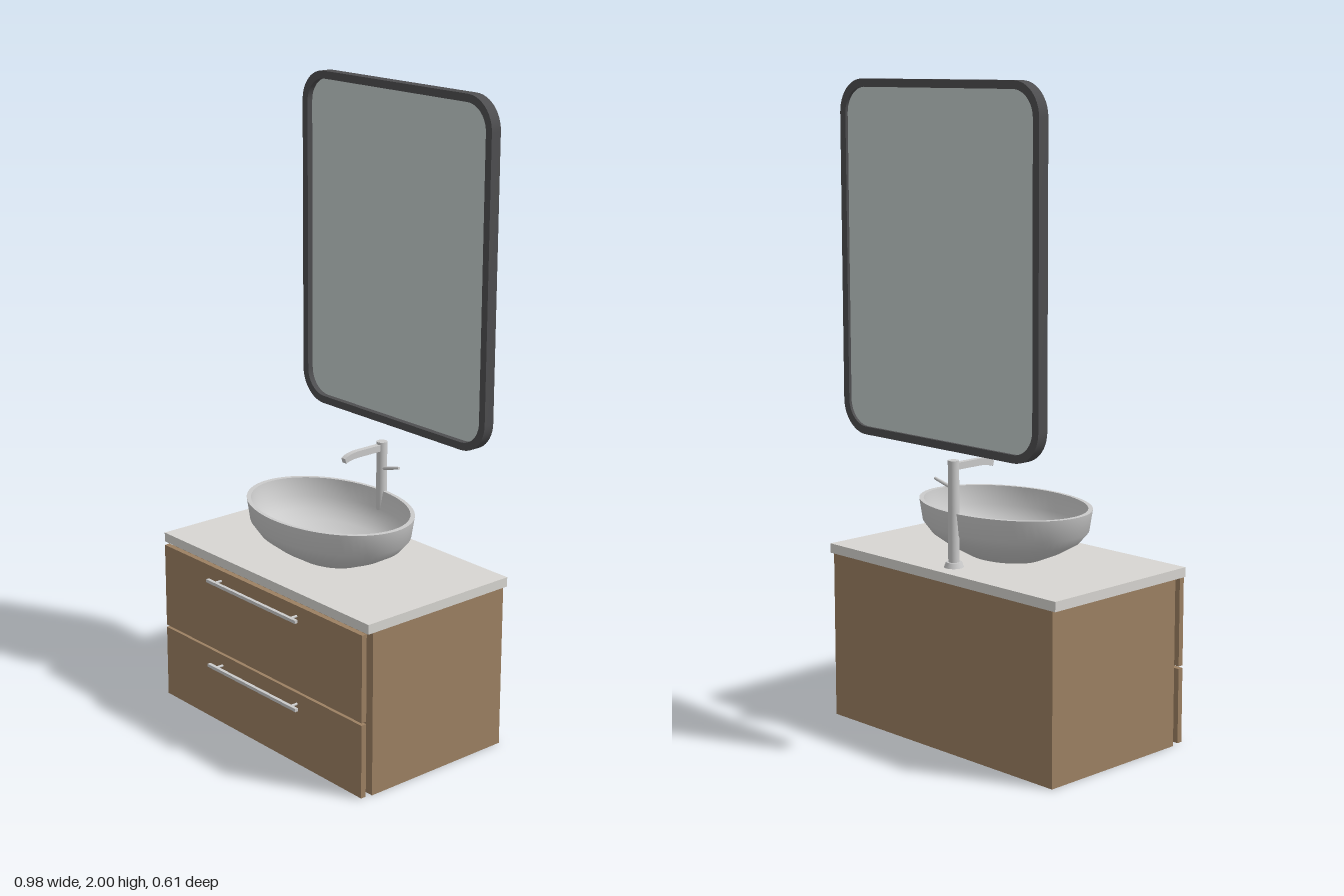
import * as THREE from 'three';
import { toCreasedNormals } from 'three/addons/utils/BufferGeometryUtils.js';

const mat = (color, extra = {}) => new THREE.MeshStandardMaterial({ color, ...extra });
const wood = mat(0x9c8062);
const stone = mat(0xd8d6d2);
const dark = mat(0x4e4e50);
const glass = mat(0xc3cccb);
const grey = mat(0xcccccc);

function add(parent, name, geometry, material, x = 0, y = 0, z = 0) {
  const mesh = new THREE.Mesh(geometry, material);
  mesh.name = name;
  mesh.position.set(x, y, z);
  parent.add(mesh);
  return mesh;
}

// box given by its min and max corners
function box(parent, name, material, [x0, y0, z0], [x1, y1, z1]) {
  return add(parent, name, new THREE.BoxGeometry(x1 - x0, y1 - y0, z1 - z0), material,
    (x0 + x1) / 2, (y0 + y1) / 2, (z0 + z1) / 2);
}

// rounded rectangle centred on the origin, as a Shape or a hole Path
function roundedRect(Type, w, h, r) {
  const p = new Type();
  const x = w / 2 - r, y = h / 2 - r;
  p.absarc(x, y, r, 0, Math.PI / 2);
  p.absarc(-x, y, r, Math.PI / 2, Math.PI);
  p.absarc(-x, -y, r, Math.PI, 1.5 * Math.PI);
  p.absarc(x, -y, r, 1.5 * Math.PI, 2 * Math.PI);
  p.closePath();
  return p;
}

function extrude(shape, depth, curveSegments = 6) {
  const g = new THREE.ExtrudeGeometry(shape, { depth, bevelEnabled: false, curveSegments });
  return toCreasedNormals(g, 0.6);
}

function buildVanity() {
  const vanity = new THREE.Group();
  vanity.name = 'vanity';
  box(vanity, 'cabinet', wood, [-0.477, 0.005, -0.3], [0.477, 0.53, 0.227]);
  box(vanity, 'countertop', stone, [-0.49, 0.53, -0.303], [0.49, 0.56, 0.257]);

  // two drawers, each with a bar handle on two posts
  for (const [y0, y1, handleY] of [[0.008, 0.242, 0.206], [0.25, 0.525, 0.491]]) {
    const drawer = new THREE.Group();
    drawer.name = 'drawer';
    box(drawer, 'drawerFront', wood, [-0.475, y0, 0.25], [0.475, y1, 0.268]);
    box(drawer, 'handleBar', grey, [-0.215, handleY - 0.005, 0.291], [0.215, handleY + 0.005, 0.302]);
    for (const side of [-1, 1]) {
      const post = add(drawer, 'handlePost', new THREE.CylinderGeometry(0.004, 0.004, 0.026, 10),
        grey, side * 0.182, handleY, 0.28);
      post.rotation.x = Math.PI / 2;
    }
    vanity.add(drawer);
  }
  return vanity;
}

// oval bowl: outer wall, flat rim, inner wall and floor sloping to the drain
function buildBasin(parent) {
  const profile = [
    [0, 0], [0.13, 0], [0.205, 0.032], [0.262, 0.064], [0.293, 0.098], [0.305, 0.165],
    [0.289, 0.165], [0.279, 0.105], [0.25, 0.072], [0.215, 0.046], [0.12, 0.022], [0, 0.015],
  ].map(([r, y]) => new THREE.Vector2(r, y));
  const g = new THREE.LatheGeometry(profile, 64);
  g.scale(1, 1, 0.719);
  add(parent, 'basin', toCreasedNormals(g, 0.85), grey, 0, 0.56, -0.0175);
}

function buildFaucet() {
  const faucet = new THREE.Group();
  faucet.name = 'faucet';
  faucet.position.set(0, 0.56, -0.232);
  add(faucet, 'faucetBase', new THREE.CylinderGeometry(0.024, 0.03, 0.016, 28), grey, 0, 0.008, 0);
  add(faucet, 'faucetBody', new THREE.CylinderGeometry(0.017, 0.017, 0.325, 28), grey, 0, 0.1625, 0);

  // spout side outline, drooping toward the tip; shape x runs forward
  const s = new THREE.Shape();
  s.moveTo(0, 0.317);
  s.lineTo(0.105, 0.317);
  s.quadraticCurveTo(0.142, 0.315, 0.16, 0.303);
  s.lineTo(0.155, 0.287);
  s.quadraticCurveTo(0.137, 0.295, 0.105, 0.296);
  s.lineTo(0, 0.296);
  const g = extrude(s, 0.018);
  g.translate(0, 0, -0.009);
  g.rotateY(-Math.PI / 2);
  add(faucet, 'spout', g, grey);

  // lever on the model's left, rising slightly
  const lever = add(faucet, 'lever', new THREE.CylinderGeometry(0.0045, 0.006, 0.076, 12), grey, 0.047, 0.249, 0.003);
  lever.rotation.z = -Math.PI / 2 + 0.25;
  return faucet;
}

function buildMirror() {
  const mirror = new THREE.Group();
  mirror.name = 'mirror';
  mirror.position.set(0, 1.465, 0);
  const w = 0.836, h = 1.07, rim = 0.024;
  const frame = roundedRect(THREE.Shape, w, h, 0.1);
  frame.holes.push(roundedRect(THREE.Path, w - 2 * rim, h - 2 * rim, 0.078));
  add(mirror, 'mirrorFrame', extrude(frame, 0.036), dark, 0, 0, -0.299);
  const pane = roundedRect(THREE.Shape, w - 2 * rim + 0.004, h - 2 * rim + 0.004, 0.079);
  add(mirror, 'mirrorGlass', extrude(pane, 0.008), glass, 0, 0, -0.29);
  return mirror;
}

export function createModel() {
  const model = new THREE.Group();
  model.name = 'bathroomVanity';
  model.add(buildVanity());
  buildBasin(model);
  model.add(buildFaucet(), buildMirror());
  return model;
}
